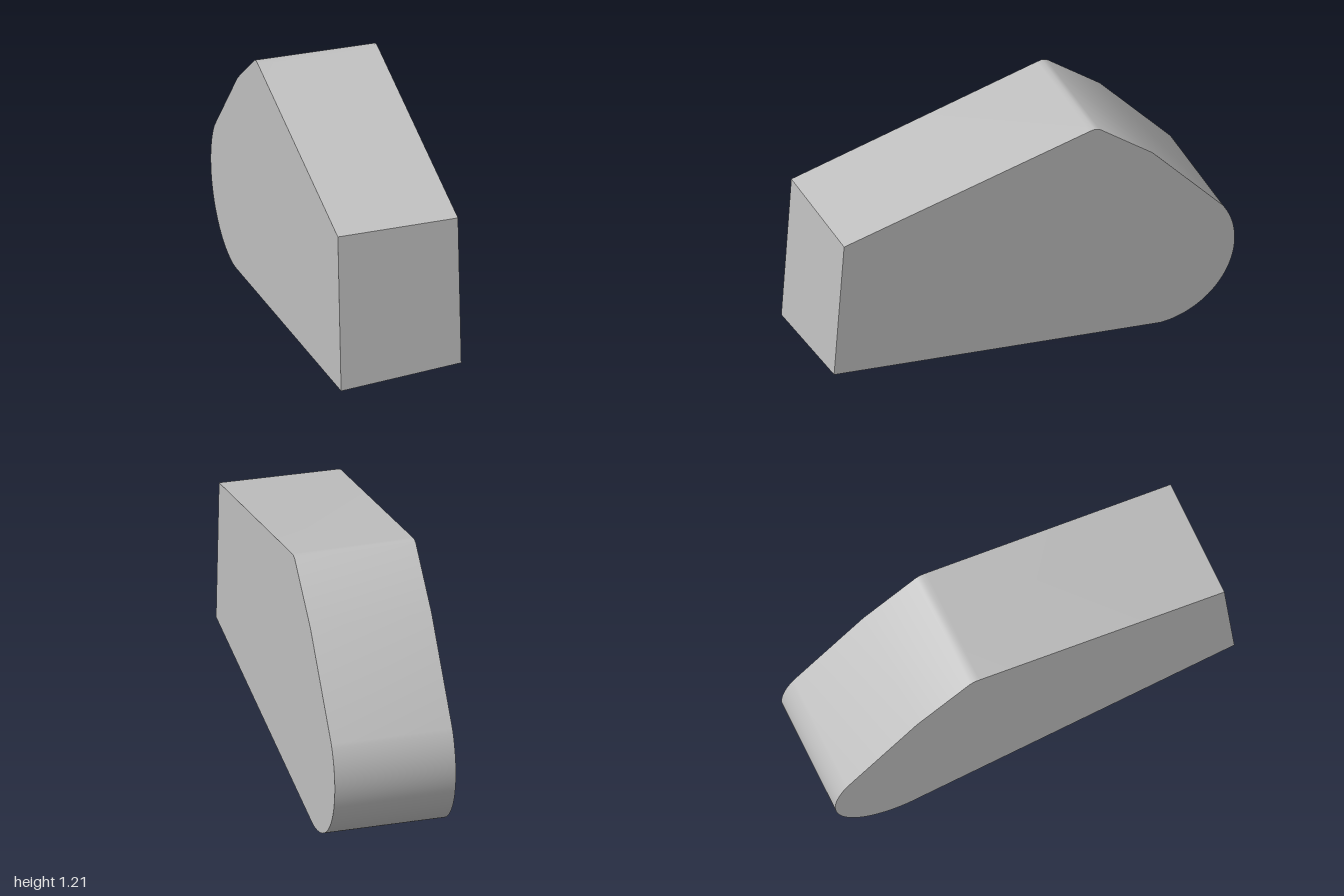
import * as THREE from 'three';
import { toCreasedNormals } from 'three/addons/utils/BufferGeometryUtils.js';

const WIDTH = 0.57;

export function createModel() {
  const group = new THREE.Group();
  group.name = 'wedgeBlock';
  const grey = new THREE.MeshStandardMaterial({ color: 0xc0c0c0 });
  grey.name = 'grey';

  // Side profile: horizontal axis runs from the front (-1) to the back (+1)
  const profile = new THREE.Shape();
  profile.moveTo(-1, 0.23);
  profile.lineTo(0.63, 0);
  // round lower back
  profile.absarc(0.63, 0.37, 0.37, -Math.PI / 2, 0.57, false);
  // sloped back, softened peak, sloped top
  for (const [a, y] of [[0.59, 0.985], [0.325, 1.206], [0.3, 1.213], [0.275, 1.209], [-0.95, 0.945]]) {
    profile.lineTo(a, y);
  }
  profile.closePath();

  const body = new THREE.ExtrudeGeometry(profile, { depth: WIDTH, bevelEnabled: false, curveSegments: 20 });
  body.translate(0, 0, -WIDTH / 2);
  body.rotateY(Math.PI / 2);

  // The front edges dip slightly towards the right side
  const pos = body.attributes.position;
  for (let i = 0; i < pos.count; i++) {
    if (pos.getX(i) < 0 && pos.getZ(i) > 0.9) {
      pos.setY(i, pos.getY(i) - (pos.getY(i) < 0.5 ? 0.057 : 0.01));
    }
  }

  const mesh = new THREE.Mesh(toCreasedNormals(body, 0.65), grey);
  mesh.name = 'body';
  group.add(mesh);
  return group;
}
